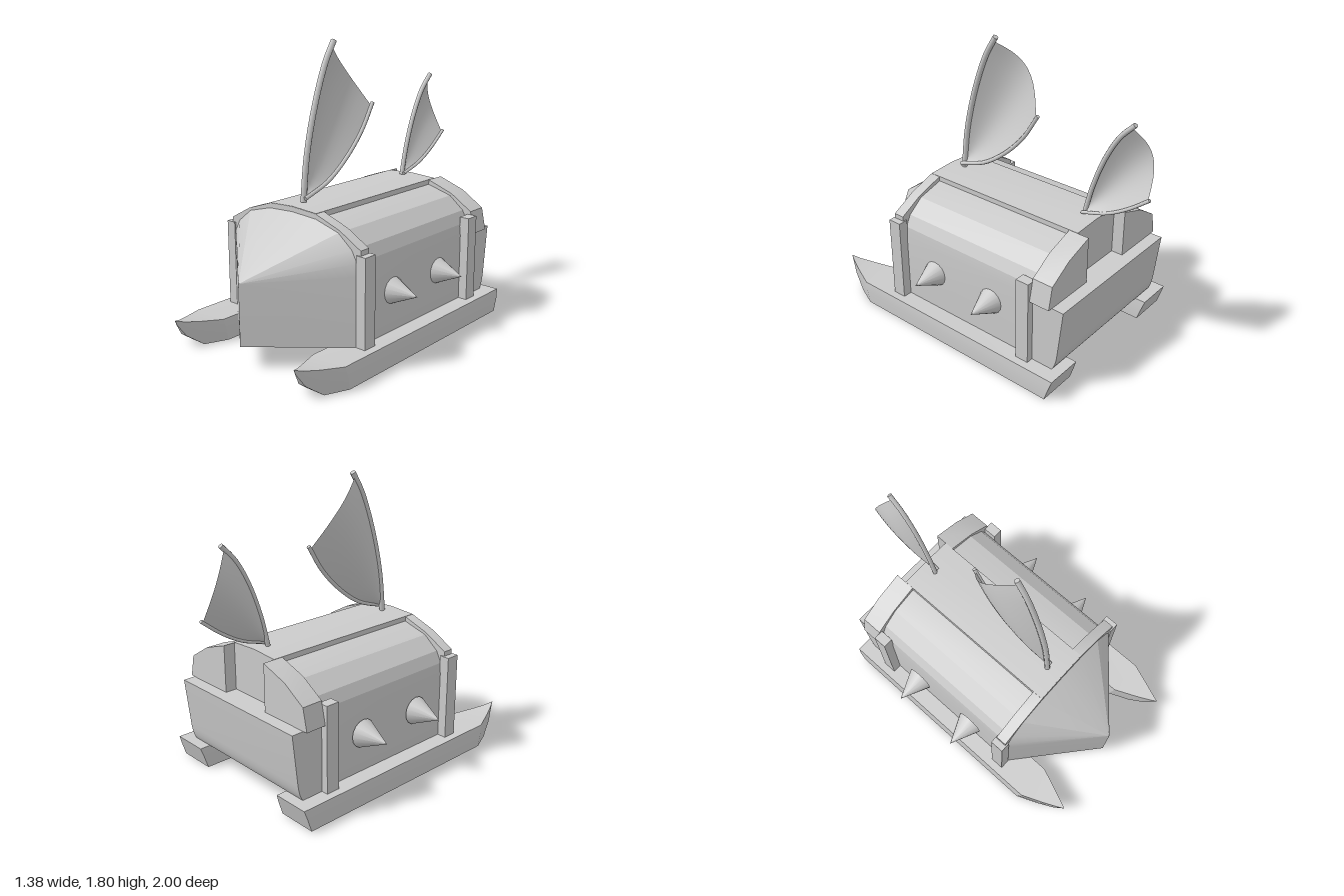
import * as THREE from 'three';
import { toCreasedNormals } from 'three/addons/utils/BufferGeometryUtils.js';
import { ParametricGeometry } from 'three/addons/geometries/ParametricGeometry.js';

const CX = 0.013; // centre line of the hull

export function createModel() {
  const model = new THREE.Group();
  const grey = new THREE.MeshStandardMaterial({ color: 0xcccccc });
  const thin = new THREE.MeshStandardMaterial({ color: 0xcccccc, side: THREE.DoubleSide });

  function add(name, geometry, parent = model, material = grey) {
    const mesh = new THREE.Mesh(geometry, material);
    mesh.name = name;
    parent.add(mesh);
    return mesh;
  }

  // Extrudes an outline (x relative to the centre line) from z0 to z1
  function slab(points, z0, z1) {
    const shape = new THREE.Shape(points.map(([x, y]) => new THREE.Vector2(x + CX, y)));
    const g = new THREE.ExtrudeGeometry(shape, { depth: z1 - z0, bevelEnabled: false });
    g.translate(0, 0, z0);
    return toCreasedNormals(g, 0.3);
  }

  // Skins closed rings that run counter-clockwise seen from +z, ordered back to front
  function loft(rings, crease) {
    const n = rings[0].length, index = [], last = (rings.length - 1) * n;
    for (let r = 0; r < rings.length - 1; r++) {
      for (let k = 0; k < n; k++) {
        const a = r * n + k, b = r * n + (k + 1) % n;
        index.push(a, b, b + n, a, b + n, a + n);
      }
    }
    for (let k = 1; k < n - 1; k++) {
      index.push(0, k + 1, k, last, last + k, last + k + 1);
    }
    const g = new THREE.BufferGeometry();
    g.setAttribute('position', new THREE.Float32BufferAttribute(rings.flat(2), 3));
    g.setIndex(index);
    return toCreasedNormals(g.toNonIndexed(), crease);
  }

  // Full symmetric outline from its right half, listed bottom to top
  const mirrored = (half, top) => [
    ...half, [0, top], ...half.map(([x, y]) => [-x, y]).reverse(),
  ];

  // Hull with its arched roof
  const section = mirrored(
    [[0.5, 0.14], [0.5, 0.56], [0.492, 0.63], [0.455, 0.7], [0.355, 0.78], [0.185, 0.827]], 0.837);
  add('hull', slab(section, -0.6, 0.5));

  // Wedge nose: the wall meets a vertical stem, the roof fans into its top
  const nose = [
    section.map(([x, y]) => [x + CX, y, 0.5]),
    section.map(([, y]) => [CX, y < 0.5 ? 0.14 : 0.515, 0.93]),
  ];
  add('nose', loft(nose, 0.3));

  // Raised roof trim: front hoop, ridge strip and the two rear end blocks
  const hoop = [[0.518, 0.62], [0.518, 0.71], [0.365, 0.795], [0.185, 0.857]];
  add('frontHoop', slab(mirrored(hoop, 0.867), 0.43, 0.5));
  add('ridgeStrip', slab(
    [[0.185, 0.56], [0.185, 0.859], [0, 0.869], [-0.185, 0.859], [-0.185, 0.56]], -0.65, 0.498));
  const block = [[0.185, 0.56], [0.545, 0.56], [0.515, 0.7], [0.365, 0.795], [0.185, 0.857]];
  add('leftRearBlock', slab(block, -0.725, -0.59));
  add('rightRearBlock', slab(block.map(([x, y]) => [-x, y]).reverse(), -0.725, -0.59));

  // Curved lower stern, drawn in side view and extruded across the hull
  const stern = new THREE.Shape();
  stern.moveTo(-0.55, 0.14);
  stern.lineTo(-0.55, 0.56);
  stern.lineTo(-0.803, 0.56);
  stern.lineTo(-0.768, 0.24);
  stern.quadraticCurveTo(-0.758, 0.17, -0.735, 0.14);
  const sternGeometry = new THREE.ExtrudeGeometry(stern,
    { depth: 1.03, bevelEnabled: false, curveSegments: 5 });
  sternGeometry.rotateY(-Math.PI / 2).translate(CX + 0.515, 0, 0);
  add('stern', toCreasedNormals(sternGeometry, 0.5));

  for (const [side, s] of [['left', 1], ['right', -1]]) {
    // Corner posts
    for (const z of [0.465, -0.548]) {
      add(side + 'Post', new THREE.BoxGeometry(0.065, 0.54, 0.088))
        .position.set(CX + s * 0.526, 0.41, z);
    }

    // Side spikes
    for (const z of [0.185, -0.265]) {
      const spike = add(side + 'Spike', new THREE.ConeGeometry(0.088, 0.19, 16));
      spike.rotation.z = -s * Math.PI / 2;
      spike.position.set(s * 0.593, 0.39, z);
    }

    // Sled runner: bottom z, top z, half width, bottom y, top y
    const rings = [
      [-0.76, -0.805, 0.125, 0, 0.14],
      [0.7, 0.73, 0.125, 0, 0.14],
      [0.84, 0.87, 0.064, 0, 0.155],
      [0.94, 0.95, 0.026, 0.075, 0.168],
      [0.99, 1, 0.002, 0.155, 0.183],
    ].map(([zb, zt, w, yb, yt]) => {
      const x = CX + s * 0.49, t = w * 0.94;
      const ym = yb + (yt - yb) * 0.6, zm = zb + (zt - zb) * 0.6;
      return [[x - w, yb, zb], [x + w, yb, zb], [x + w, ym, zm],
        [x + t, yt, zt], [x - t, yt, zt], [x - w, ym, zm]];
    });
    add(side + 'Runner', loft(rings, 0.35));
  }

  // Spar tube along a curve, with closed ends
  function spar(name, curve, radius, parent) {
    add(name, new THREE.TubeGeometry(curve, 20, radius, 8), parent);
    for (const t of [0, 1]) {
      const cap = add(name + 'End', new THREE.CircleGeometry(radius, 8), parent, thin);
      cap.position.copy(curve.getPoint(t));
      cap.lookAt(cap.position.clone().add(curve.getTangent(t)));
    }
  }

  // Fan sail: mast and boom share a foot, the cloth billows to the right
  function sail(name, mastPoints, boomPoints, depth, flare, radius) {
    const group = new THREE.Group();
    group.name = name;
    model.add(group);
    const curve = (points, x) => new THREE.CatmullRomCurve3(
      points.map(([z, y]) => new THREE.Vector3(x, y, z)));
    const mast = curve(mastPoints, 0), boom = curve(boomPoints, 0.022);
    spar('mast', mast, radius, group);
    spar('boom', boom, radius * 0.7, group);
    const a = new THREE.Vector3(), b = new THREE.Vector3();
    const cloth = new ParametricGeometry((u, v, p) => {
      mast.getPoint(v * 0.94, a);
      boom.getPoint(v * 0.97, b);
      const bow = Math.sin(Math.PI * u);
      p.lerpVectors(a, b, u);
      p.x -= depth * bow * Math.sin(v * Math.PI * 0.6);
      p.z += flare[0] * bow * v * v;
      p.y += flare[1] * bow * v * v;
    }, 12, 14);
    add('cloth', cloth, group, thin);
  }

  sail('frontSail',
    [[0.393, 0.87], [0.36, 1.14], [0.29, 1.42], [0.195, 1.67], [0.12, 1.795]],
    [[0.4, 0.895], [0.2, 0.965], [0.03, 1.085], [-0.11, 1.23], [-0.215, 1.395]],
    0.095, [-0.025, 0.05], 0.018);
  sail('rearSail',
    [[-0.555, 0.87], [-0.605, 1.07], [-0.68, 1.27], [-0.765, 1.42], [-0.855, 1.515]],
    [[-0.55, 0.882], [-0.72, 0.935], [-0.86, 1.015], [-0.99, 1.115]],
    0.078, [-0.035, 0.03], 0.015);

  return model;
}
